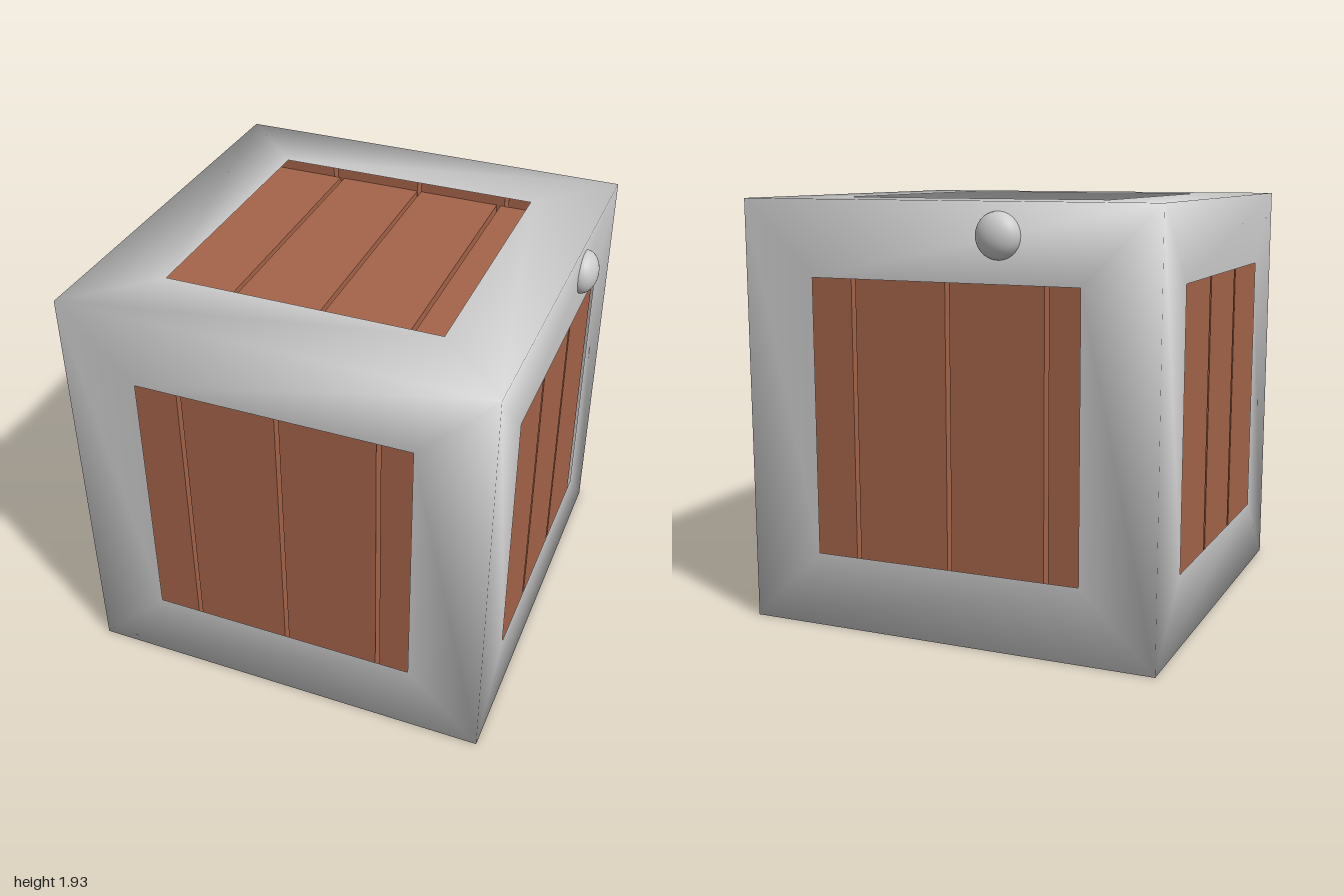
import * as THREE from 'three';

const HALF = 0.965;      // half side of the frame cube
const OPENING = 0.625;   // half side of the square openings
const Q = Math.PI / 2;
// Rotations turning a +z face to each side of the cube
const WALLS = { front: [0, 0, 0], left: [0, Q, 0], back: [0, 2 * Q, 0], right: [0, -Q, 0] };
const CAPS = { top: [-Q, 0, 0], bottom: [Q, 0, 0] };

const grey = new THREE.MeshStandardMaterial({ color: 0xcccccc, side: THREE.DoubleSide });
const metal = new THREE.MeshStandardMaterial({ color: 0xcccccc });
const wood = new THREE.MeshStandardMaterial({ color: 0xa5644a });

// Thin shell with a square opening in each face; normals blend softly around the corners
function frameGeometry() {
  const positions = [], normals = [], index = [];
  const ring = [[-1, -1], [1, -1], [1, 1], [-1, 1]];
  for (const angles of Object.values({ ...WALLS, ...CAPS })) {
    const turn = new THREE.Euler(...angles);
    const base = positions.length / 3;
    for (const half of [HALF, OPENING]) {
      for (const [x, y] of ring) {
        const p = new THREE.Vector3(x * half, y * half, HALF).applyEuler(turn);
        const n = half === HALF ? p.clone().normalize() : new THREE.Vector3(0, 0, 1).applyEuler(turn);
        positions.push(p.x, p.y, p.z);
        normals.push(n.x, n.y, n.z);
      }
    }
    for (let i = 0; i < 4; i++) {
      const j = (i + 1) % 4;
      index.push(base + i, base + j, base + 4 + j, base + i, base + 4 + j, base + 4 + i);
    }
  }
  const geometry = new THREE.BufferGeometry();
  geometry.setAttribute('position', new THREE.Float32BufferAttribute(positions, 3));
  geometry.setAttribute('normal', new THREE.Float32BufferAttribute(normals, 3));
  geometry.setIndex(index);
  return geometry;
}

// Four upright boards with narrow gaps, facing +z before being turned
function boardPanel(name, angles, pitch, length, outer, thickness) {
  const panel = new THREE.Group();
  panel.name = name;
  const geometry = new THREE.BoxGeometry(pitch - 0.02, length, thickness);
  for (let i = 0; i < 4; i++) {
    const board = new THREE.Mesh(geometry, wood);
    board.name = 'board';
    board.position.set((i - 1.5) * pitch, 0, outer - thickness / 2);
    panel.add(board);
  }
  panel.rotation.set(...angles);
  return panel;
}

// Flattened round knob centred on a frame face
function knob(name, position, scale) {
  const mesh = new THREE.Mesh(new THREE.SphereGeometry(0.1, 32, 20), metal);
  mesh.name = name;
  mesh.position.set(...position);
  mesh.scale.set(...scale);
  return mesh;
}

export function createModel() {
  const model = new THREE.Group();
  model.name = 'crate';

  const crate = new THREE.Group();
  crate.name = 'crateBody';
  crate.position.set(-0.035, HALF, 0.035);
  model.add(crate);

  const frame = new THREE.Mesh(frameGeometry(), grey);
  frame.name = 'frame';
  crate.add(frame);

  // Board walls just behind the openings, with top and bottom set between them
  for (const [side, angles] of Object.entries(WALLS)) {
    crate.add(boardPanel(side + 'Boards', angles, 0.455, 1.81, 0.905, 0.075));
  }
  for (const [side, angles] of Object.entries(CAPS)) {
    crate.add(boardPanel(side + 'Boards', angles, 0.417, 1.65, 0.815, 0.075));
  }

  // Knobs on the left and back faces
  model.add(knob('leftKnob', [0.93, 1.79, -0.29], [0.7, 1, 1]));
  model.add(knob('backKnob', [-0.3, 1.79, -0.93], [1, 1, 0.7]));
  return model;
}
